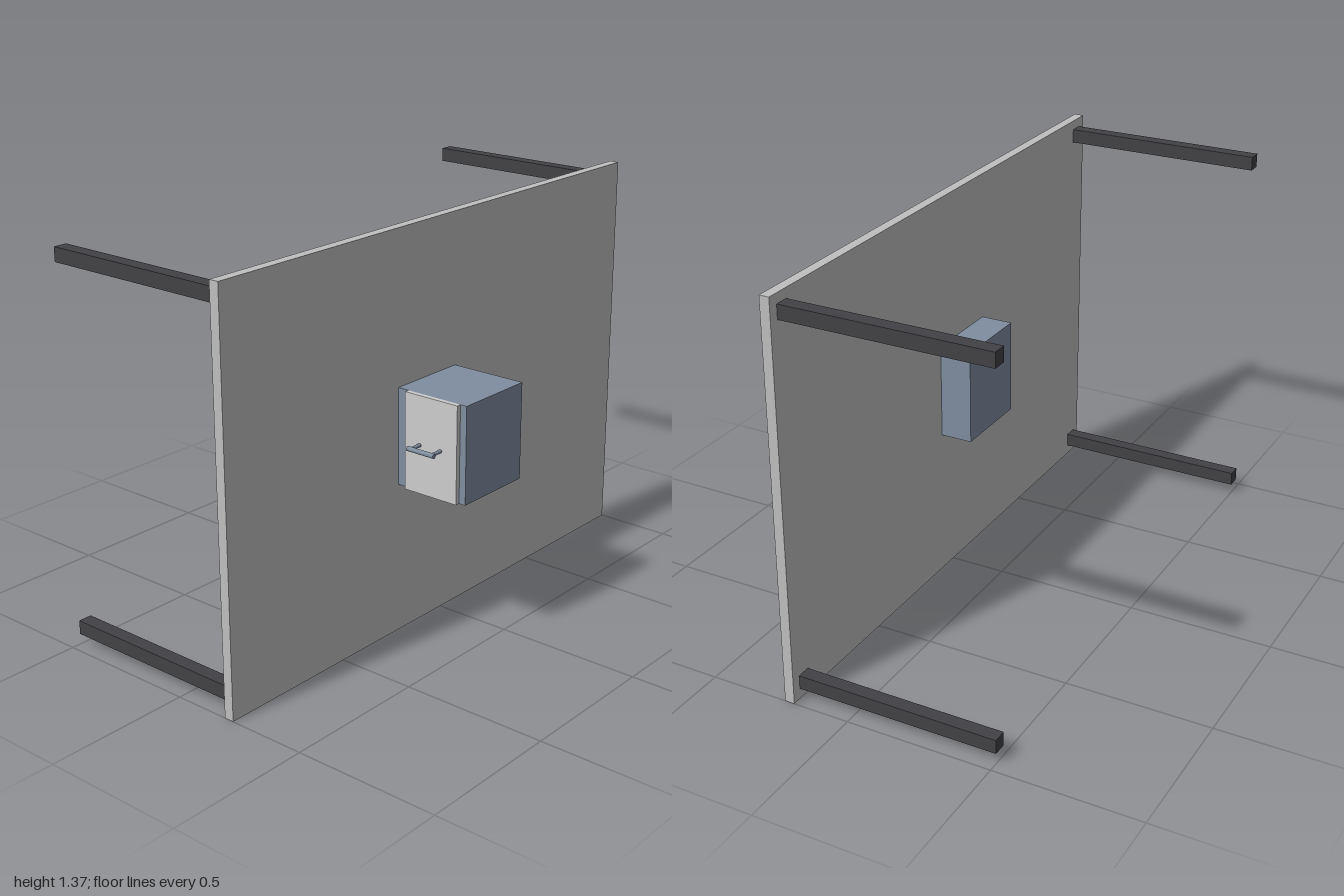
import * as THREE from 'three';

export function createModel() {
  const model = new THREE.Group();
  const material = (name, color) => {
    const m = new THREE.MeshStandardMaterial({ color });
    m.name = name;
    return m;
  };
  const panelGrey = material('panel grey', 0xbfbfbf);
  const slateBlue = material('slate blue', 0x808da0);
  const charcoal = material('charcoal', 0x424246);
  const paleGrey = material('pale grey', 0xcdcdcd);

  const add = (name, geometry, mat, x, y, z, parent = model) => {
    const mesh = new THREE.Mesh(geometry, mat);
    mesh.name = name;
    mesh.position.set(x, y, z);
    parent.add(mesh);
    return mesh;
  };

  // Upright panel
  add('panel', new THREE.BoxGeometry(2, 1.368, 0.034), panelGrey, 0, 0.684, 0.213);

  // Four square legs reaching backwards from the corners
  const legGeometry = new THREE.BoxGeometry(0.048, 0.048, 0.696);
  for (const x of [-0.942, 0.942])
    for (const y of [0.06, 1.311]) add('leg', legGeometry, charcoal, x, y, -0.152);

  // Cabinet box passing through the panel
  add('cabinet', new THREE.BoxGeometry(0.29, 0.33, 0.416), slateBlue, -0.08, 0.686, 0.292);

  // Door on the cabinet's right side
  add('door', new THREE.BoxGeometry(0.016, 0.33, 0.206), paleGrey, -0.233, 0.686, 0.373);

  // Pull handle: two round posts joined by a bar
  const handle = new THREE.Group();
  handle.name = 'handle';
  model.add(handle);
  const post = new THREE.CylinderGeometry(0.006, 0.006, 0.048, 16).rotateZ(Math.PI / 2);
  for (const z of [0.33, 0.412]) add('handlePost', post, slateBlue, -0.263, 0.686, z, handle);
  const bar = new THREE.CylinderGeometry(0.008, 0.008, 0.106, 16).rotateX(Math.PI / 2);
  add('handleBar', bar, slateBlue, -0.287, 0.686, 0.371, handle);

  return model;
}
